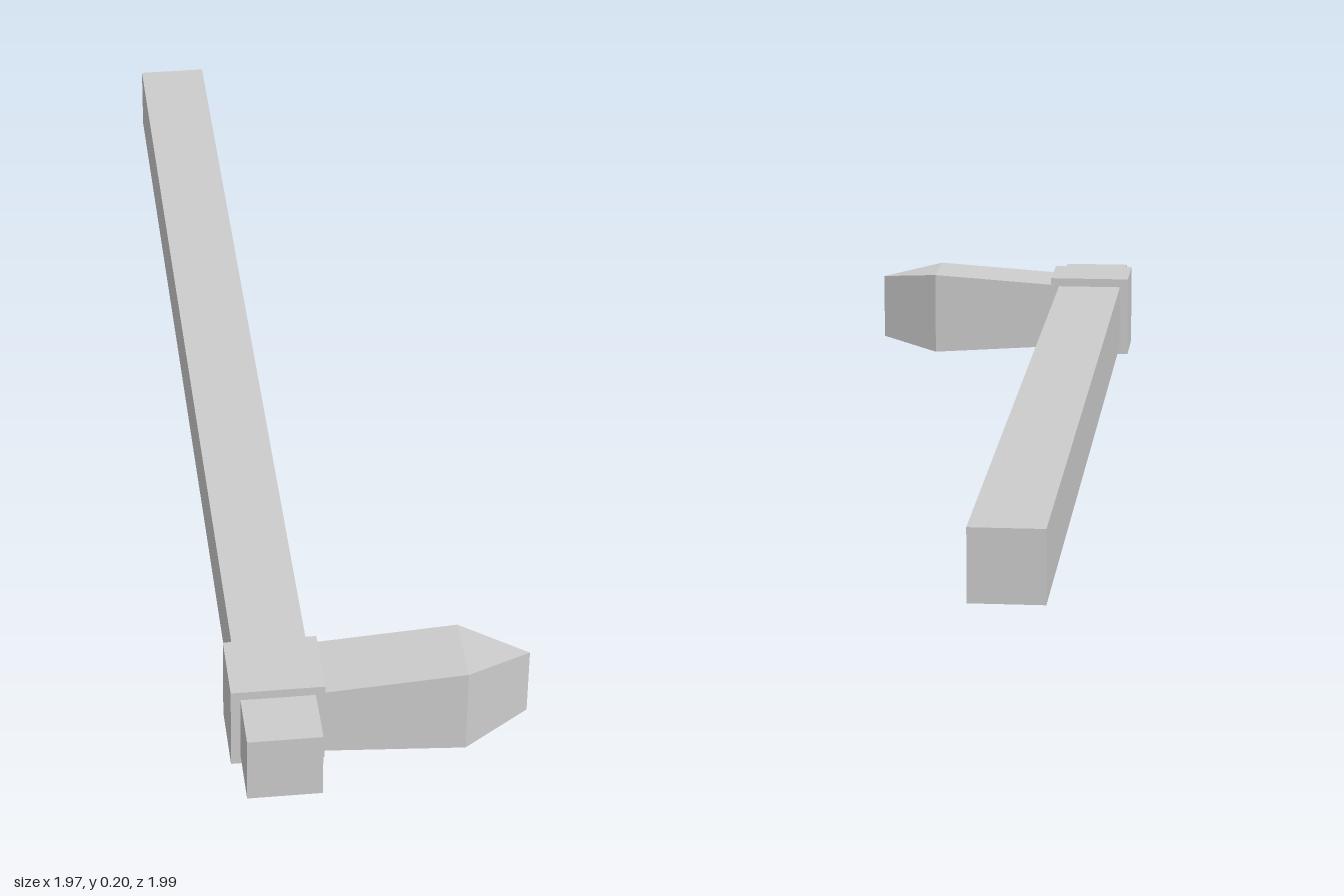
import * as THREE from 'three';

const gray = new THREE.MeshStandardMaterial({ color: 0xcccccc });
gray.name = 'light gray';

function box(name, w, h, d, x) {
  const mesh = new THREE.Mesh(new THREE.BoxGeometry(w, h, d), gray);
  mesh.name = name;
  mesh.position.x = x;
  return mesh;
}

// Spike: three cross-sections along z, flaring in height, then narrowing to a vertical edge
function spikeGeometry() {
  const sections = [
    { z: 0.09, halfW: 0.078, halfH: 0.078 },
    { z: 0.385, halfW: 0.078, halfH: 0.098 },
    { z: 0.523, halfW: 0, halfH: 0.077 },
  ];
  const box = new THREE.BoxGeometry(2, 2, 2, 1, 1, 2);
  const p = box.attributes.position;
  for (let i = 0; i < p.count; i++) {
    const s = sections[Math.round(p.getZ(i)) + 1];
    p.setXYZ(i, p.getX(i) * s.halfW, p.getY(i) * s.halfH, s.z);
  }
  const geometry = box.toNonIndexed();
  geometry.computeVertexNormals();
  return geometry;
}

export function createModel() {
  const model = new THREE.Group();
  model.name = 'hammer';

  // The tool lies flat, its shaft running diagonally from the head
  const tool = new THREE.Group();
  tool.name = 'tool';
  tool.position.set(0, 0.098, -0.099);
  tool.rotation.y = 0.736;
  model.add(tool);

  // Square shaft and the collar around it
  tool.add(box('shaft', 2.514, 0.15, 0.152, 0));
  tool.add(box('collar', 0.156, 0.19, 0.191, -1.053));

  // Pointed spike on one side of the collar
  const spike = new THREE.Mesh(spikeGeometry(), gray);
  spike.name = 'spike';
  spike.position.x = -1.052;
  tool.add(spike);

  return model;
}
